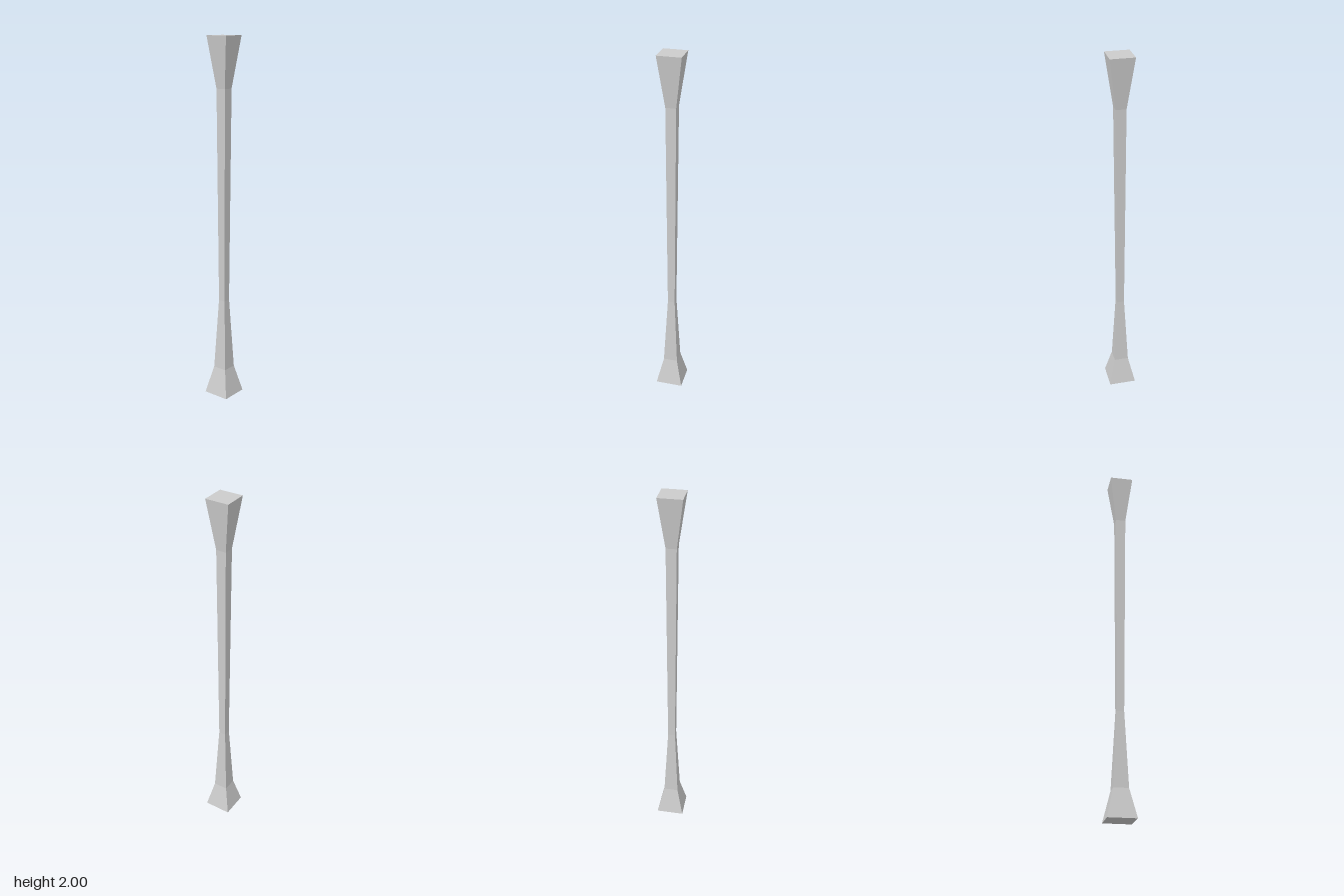
import * as THREE from 'three';

export function createModel() {
  const group = new THREE.Group();
  group.name = 'squarePost';

  // Half width of the square section at each height, closed at both ends
  const profile = [
    [0, 0], [0.076, 0], [0.04, 0.155], [0.02, 0.56], [0.028, 1.73], [0.064, 2], [0, 2],
  ].map(([half, y]) => new THREE.Vector2(half * Math.SQRT2, y));

  // Four-sided lathe turned so its flat sides face the axes
  const post = new THREE.Mesh(
    new THREE.LatheGeometry(profile, 4, Math.PI / 4),
    new THREE.MeshStandardMaterial({ color: 0xcccccc, flatShading: true })
  );
  post.name = 'flaredPost';
  group.add(post);
  return group;
}
